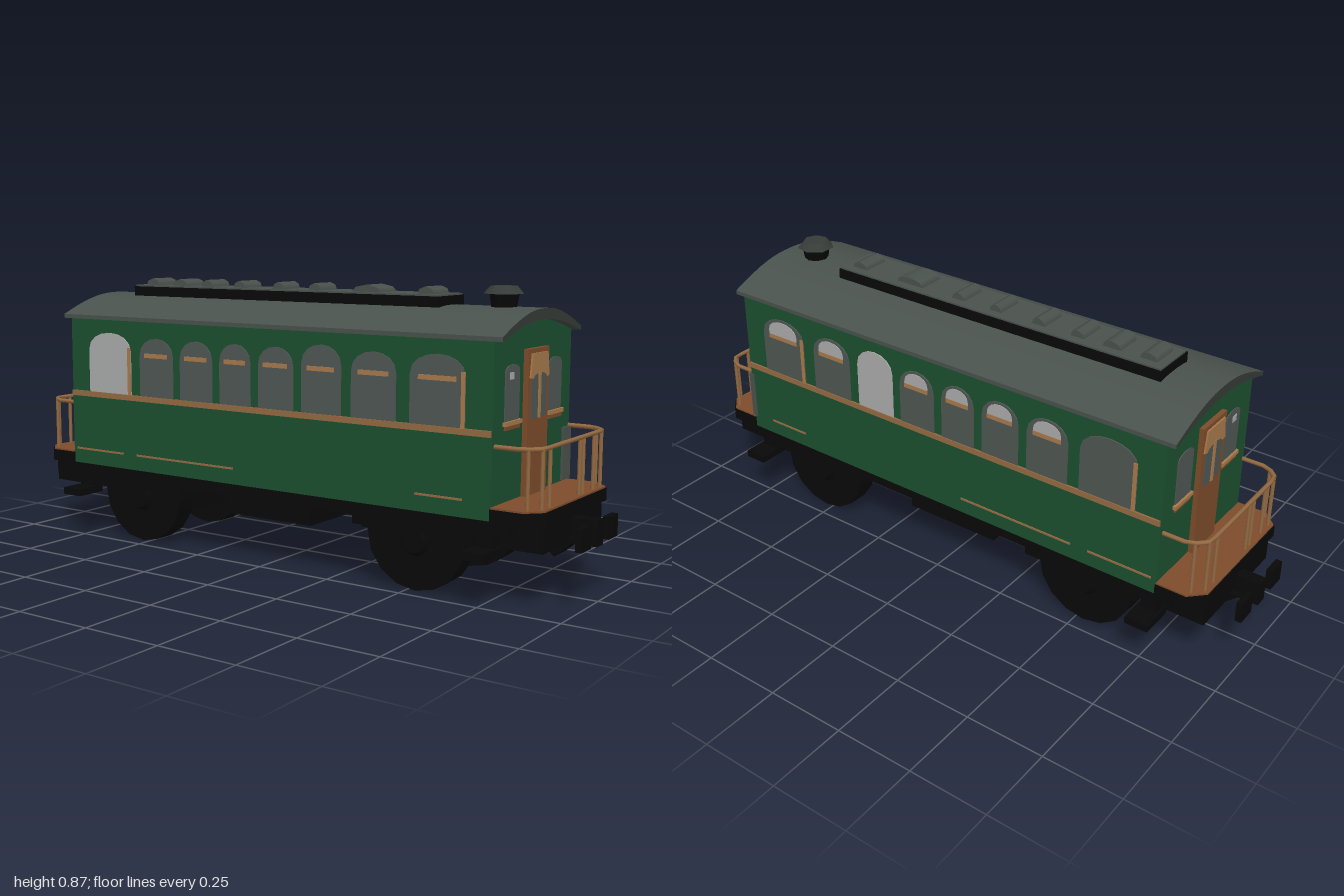
import * as THREE from 'three';

const mat = (name, color) => {
  const m = new THREE.MeshStandardMaterial({ color });
  m.name = name;
  return m;
};

export function createModel() {
  const green = mat('green paint', 0x1b5030);
  const roofGrey = mat('roof grey', 0x4a524d);
  const trim = mat('dark trim', 0x363c38);
  const black = mat('black iron', 0x080808);
  const brown = mat('brown wood', 0x7e4d2b);
  const tan = mat('tan wood', 0xa87a4b);
  const railWood = mat('rail wood', 0x946a42);
  const glass = mat('dark glass', 0x4f5753);
  const pale = mat('pale glass', 0xaaacab);

  const model = new THREE.Group();
  model.name = 'railwayCarriage';
  const add = (name, geo, material, parent = model) => {
    const m = new THREE.Mesh(geo, material);
    m.name = name;
    parent.add(m);
    return m;
  };
  // box given by its limits
  const box = (name, material, x0, x1, y0, y1, z0, z1, parent) => {
    const g = new THREE.BoxGeometry(x1 - x0, y1 - y0, z1 - z0);
    g.translate((x0 + x1) / 2, (y0 + y1) / 2, (z0 + z1) / 2);
    return add(name, g, material, parent);
  };
  const extrude = (shape, depth) =>
    new THREE.ExtrudeGeometry(shape, { depth, bevelEnabled: false, curveSegments: 8 });
  const polygon = pts => new THREE.Shape(pts.map(p => new THREE.Vector2(...p)));
  const rod = (name, pts, r, material, parent) => {
    const path = new THREE.CurvePath();
    for (let i = 1; i < pts.length; i++)
      path.add(new THREE.LineCurve3(new THREE.Vector3(...pts[i - 1]), new THREE.Vector3(...pts[i])));
    return add(name, new THREE.TubeGeometry(path, (pts.length - 1) * 4, r, 6), material, parent);
  };
  // thin arched plate
  const archPlate = (name, material, x0, x1, y0, y1, rise, z, depth, parent) => {
    const c = y1 + rise / 3, s = new THREE.Shape();
    s.moveTo(x0, y0);
    s.lineTo(x1, y0);
    s.lineTo(x1, y1 - rise);
    s.bezierCurveTo(x1, c, x0, c, x0, y1 - rise);
    s.lineTo(x0, y0);
    add(name, extrude(s, depth), material, parent).position.z = z;
  };

  // body with an arched top
  const body = new THREE.Shape();
  body.moveTo(-0.251, 0.248);
  body.lineTo(0.251, 0.248);
  body.lineTo(0.249, 0.742);
  body.bezierCurveTo(0.125, 0.788, 0.07, 0.788, 0, 0.788);
  body.bezierCurveTo(-0.07, 0.788, -0.125, 0.788, -0.249, 0.742);
  add('body', extrude(body, 1.574), green).position.z = -0.787;

  // roof sheet with dark end edges
  const roof = new THREE.Shape();
  roof.moveTo(-0.255, 0.737);
  roof.bezierCurveTo(-0.13, 0.775, -0.07, 0.782, 0, 0.782);
  roof.bezierCurveTo(0.07, 0.782, 0.13, 0.775, 0.255, 0.737);
  roof.lineTo(0.255, 0.75);
  roof.bezierCurveTo(0.13, 0.805, 0.07, 0.814, 0, 0.814);
  roof.bezierCurveTo(-0.07, 0.814, -0.13, 0.805, -0.255, 0.75);
  add('roof', extrude(roof, 1.63), [trim, roofGrey]).position.z = -0.815;

  // arched side windows: [z start, z end, top]
  const windows = [[0.53, 0.705, 0.695], [0.335, 0.485, 0.69], [0.16, 0.3, 0.7], [0, 0.13, 0.685],
    [-0.15, -0.03, 0.685], [-0.31, -0.18, 0.685], [-0.48, -0.34, 0.685], [-0.705, -0.52, 0.695]];
  for (const s of [1, -1]) {
    const side = new THREE.Group();
    side.name = s > 0 ? 'leftSide' : 'rightSide';
    side.rotation.y = s * Math.PI / 2;
    model.add(side);
    const lightWindow = s > 0 ? 2 : 7;
    windows.forEach(([z0, z1, top], i) => {
      const [a, b] = s > 0 ? [-z1, -z0] : [z0, z1];
      archPlate('windowPane', i === lightWindow ? pale : glass, a, b, 0.493, top, 0.06, 0.248, 0.005, side);
      // blind with a wooden batten; the end windows show a wooden jamb
      if (i !== lightWindow && i < 7) {
        const m = (a + b) / 2, w = (b - a) * 0.34;
        if (s > 0) archPlate('windowBlind', pale, m - w, m + w, 0.635, top - 0.008, 0.035, 0.253, 0.002, side);
        box('blindBatten', tan, m - w, m + w, 0.622, 0.636, 0.252, 0.256, side);
      }
      if (i === 0 || i === 7) box('windowJamb', tan, b - 0.012, b, 0.495, 0.65, 0.252, 0.256, side);
    });
    box('waistStrip', railWood, -0.785, 0.785, 0.478, 0.496, 0.249, 0.256, side);
    for (const [z0, z1] of [[0.55, 0.7], [-0.5, -0.1], [-0.77, -0.56]])
      box('lowerStrip', railWood, Math.min(-s * z0, -s * z1), Math.max(-s * z0, -s * z1), 0.295, 0.301, 0.249, 0.254, side);
  }

  // ends, balconies and couplings, built facing +z and turned for the back
  for (const s of [1, -1]) {
    const end = new THREE.Group();
    end.name = s > 0 ? 'frontEnd' : 'backEnd';
    end.rotation.y = s > 0 ? 0 : Math.PI;
    model.add(end);

    // end windows
    for (const m of [-1, 1]) {
      const [a, b] = m < 0 ? [-0.182, -0.095] : [0.095, 0.182];
      archPlate('endPane', glass, a, b, 0.505, 0.667, 0.02, 0.785, 0.005, end);
      box('endSill', tan, a - 0.008, b + 0.006, 0.5, 0.512, 0.78, 0.797, end);
      box('endSillBracket', brown, a, b, 0.488, 0.5, 0.78, 0.793, end);
    }
    box('paneGlint', pale, -s * 0.146 - 0.011, -s * 0.146 + 0.011, 0.626, 0.646, 0.788, 0.792, end);

    // door with glazed upper half and parted curtains
    box('door', brown, -0.068, 0.066, 0.285, 0.703, 0.783, 0.802, end);
    box('doorPane', glass, -0.048, 0.048, 0.505, 0.66, 0.8, 0.804, end);
    box('doorBar', tan, -0.006, 0.006, 0.505, 0.64, 0.802, 0.808, end);
    for (const m of [-1, 1]) {
      const c = polygon([[0, 0.69], [0.05, 0.69], [0.06, 0.622], [0.045, 0.618], [0.035, 0.628], [0, 0.636]]
        .map(([x, y]) => [m * x, y]));
      add('curtain', extrude(c, 0.005), tan, end).position.z = 0.802;
    }

    // balcony floor with cut corners
    const floor = (w, back, front, cut) => polygon([[-w, -back], [-w, -(front - cut)], [-w + cut, -front],
      [w - cut, -front], [w, -(front - cut)], [w, -back]]);
    const lay = (name, shape, y, h, material) => {
      const m = add(name, extrude(shape, h), material, end);
      m.rotation.x = -Math.PI / 2;
      m.position.y = y;
    };
    lay('balconyBase', floor(0.255, 0.785, 0.93, 0.045), 0.245, 0.037, black);
    lay('balconyFloor', floor(0.252, 0.786, 0.927, 0.045), 0.281, 0.006, brown);

    // railing
    rod('handrail', [[-0.24, 0.452, 0.79], [-0.24, 0.452, 0.875], [-0.2, 0.452, 0.915], [0.2, 0.452, 0.915],
      [0.24, 0.452, 0.875], [0.24, 0.452, 0.79]], 0.007, railWood, end);
    for (const x of [-0.2, -0.153, 0.045, 0.07, 0.145, 0.197])
      rod('railPost', [[x, 0.285, 0.913], [x, 0.452, 0.913]], 0.006, railWood, end);
    for (const x of [-0.23, 0.23])
      rod('railPost', [[x, 0.285, 0.885], [x, 0.452, 0.885]], 0.006, railWood, end);

    // buffer beam, coupling and buffer plates
    box('bufferBeam', black, -0.2, 0.2, 0.165, 0.246, 0.8, 0.92, end);
    box('coupling', black, -0.02, 0.02, 0.16, 0.235, 0.9, 1, end);
    const hook = add('couplingHook', extrude(polygon([[0.82, 0.18], [0.88, 0.12], [0.95, 0.18]]), 0.08), black, end);
    hook.rotation.y = -Math.PI / 2;
    hook.position.x = 0.04;
    for (const x of [-0.095, 0.095])
      box('bufferPlate', black, x - 0.032, x + 0.032, 0.165, 0.23, 0.98, 1, end);

    // steps
    for (const m of [-1, 1]) {
      const [a, b] = m < 0 ? [-0.298, -0.19] : [0.19, 0.298];
      box('step', black, a, b, 0.143, 0.166, 0.72, 0.795, end);
      box('stepHanger', black, m * 0.215 - 0.012, m * 0.215 + 0.012, 0.15, 0.25, 0.73, 0.785, end);
    }

    // wheels, axle and running frame
    for (const m of [-1, 1]) {
      const w = add('wheel', new THREE.CylinderGeometry(0.162, 0.162, 0.07, 16), black, end);
      w.rotation.z = Math.PI / 2;
      w.position.set(m * 0.167, 0.163, 0.525);
      const hub = add('wheelHub', new THREE.CylinderGeometry(0.035, 0.05, 0.02, 10), black, end);
      hub.rotation.z = -m * Math.PI / 2;
      hub.position.set(m * 0.21, 0.15, 0.525);
      const x = m * 0.218;
      box('springFrame', black, x - 0.016, x + 0.016, 0.18, 0.25, 0.33, 0.72, end);
    }
    rod('axle', [[-0.2, 0.162, 0.525], [0.2, 0.162, 0.525]], 0.03, black, end);
    box('axleCasing', black, -0.13, 0.13, 0.092, 0.24, 0.42, 0.63, end);
    box('bogieFrame', black, -0.2, 0.2, 0.165, 0.24, 0.34, 0.74, end);
  }

  // grey corner plate beside the front balcony
  box('cornerPlate', roofGrey, 0.2, 0.254, 0.29, 0.45, 0.775, 0.794);

  // underframe
  box('underframe', black, -0.236, 0.236, 0.205, 0.247, -0.83, 0.83);
  box('equipmentBox', black, -0.19, 0.19, 0.138, 0.21, -0.18, 0.15);

  // roof ventilator housing with cowls: [z, length]
  box('ventHousing', black, -0.075, 0.075, 0.795, 0.84, -0.66, 0.52);
  box('ventHousingTop', roofGrey, -0.071, 0.071, 0.838, 0.845, -0.656, 0.516);
  for (const [z, d] of [[-0.6, 0.06], [-0.48, 0.065], [-0.365, 0.05], [-0.23, 0.05], [-0.075, 0.045],
    [0.065, 0.05], [0.255, 0.11], [0.46, 0.06]]) {
    const cowl = add('ventCowl', new THREE.CylinderGeometry(d / 2, d / 2, 0.09, 8), roofGrey);
    cowl.rotation.z = Math.PI / 2;
    cowl.scale.x = 0.026 / (d / 2);
    cowl.position.set(-0.003, 0.841, z);
  }

  // chimney
  const stack = add('chimney', new THREE.CylinderGeometry(0.045, 0.036, 0.06, 8), black);
  stack.position.set(0, 0.825, 0.69);
  const cap = add('chimneyCap', new THREE.CylinderGeometry(0.04, 0.06, 0.022, 7), trim);
  cap.position.set(0, 0.862, 0.69);
  return model;
}
